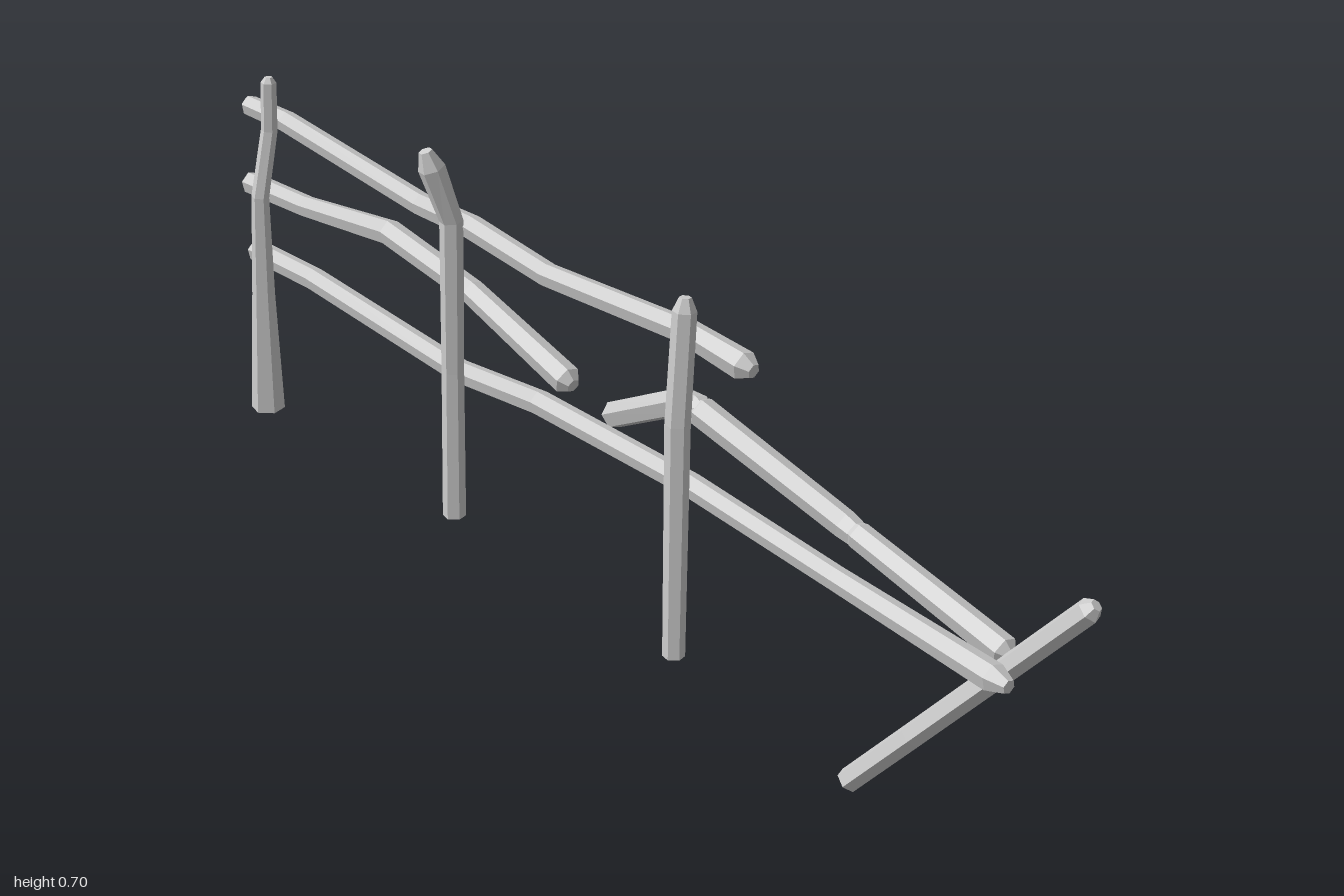
import * as THREE from 'three';

const SIDES = 6;
const material = new THREE.MeshStandardMaterial({ color: 0xcccccc, flatShading: true });

// Rough six-sided log through points [x, y, z, radius]; tips add a chopped, tapered end
function log(name, points, startTip = 0, endTip = 0) {
  const rings = points.map(([x, y, z, r]) => ({ p: new THREE.Vector3(x, y, z), r }));
  const tip = (a, b, length) => ({
    p: a.p.clone().addScaledVector(a.p.clone().sub(b.p).normalize(), length), r: a.r * 0.5,
  });
  const n = rings.length;
  const first = tip(rings[0], rings[1], startTip);
  const last = tip(rings[n - 1], rings[n - 2], endTip);
  if (startTip) rings.unshift(first);
  if (endTip) rings.push(last);

  const side = new THREE.Vector3(1, 0, 0);
  const pos = [], index = [];
  rings.forEach(({ p, r }, i) => {
    const t = rings[Math.min(i + 1, rings.length - 1)].p.clone().sub(rings[Math.max(i - 1, 0)].p).normalize();
    const u = side.clone().addScaledVector(t, -side.dot(t)).normalize();
    const v = t.clone().cross(u);
    for (let k = 0; k < SIDES; k++) {
      const a = (k / SIDES) * Math.PI * 2 + 0.3;
      const q = p.clone().addScaledVector(u, Math.cos(a) * r).addScaledVector(v, Math.sin(a) * r);
      pos.push(q.x, q.y, q.z);
    }
  });
  for (let i = 0; i < rings.length - 1; i++) {
    for (let k = 0; k < SIDES; k++) {
      const a = i * SIDES + k, b = i * SIDES + (k + 1) % SIDES;
      index.push(a, b, b + SIDES, a, b + SIDES, a + SIDES);
    }
  }
  // End caps
  const e = (rings.length - 1) * SIDES;
  for (let k = 1; k < SIDES - 1; k++) index.push(0, k + 1, k, e, e + k, e + k + 1);

  const indexed = new THREE.BufferGeometry();
  indexed.setAttribute('position', new THREE.Float32BufferAttribute(pos, 3));
  indexed.setIndex(index);
  const geometry = indexed.toNonIndexed();
  geometry.computeVertexNormals();
  const mesh = new THREE.Mesh(geometry, material);
  mesh.name = name;
  return mesh;
}

export function createModel() {
  const group = new THREE.Group();
  group.name = 'brokenFence';
  group.add(
    // Upright posts, front to back
    log('frontPost', [
      [-0.046, 0.028, 0.264, 0.018], [-0.031, 0.42, 0.248, 0.02], [-0.016, 0.6, 0.243, 0.019],
    ], 0, 0.022),
    log('middlePost', [
      [-0.02, 0.028, -0.325, 0.02], [-0.016, 0.3, -0.325, 0.019],
      [-0.014, 0.57, -0.322, 0.02], [-0.042, 0.665, -0.334, 0.023],
    ], 0, 0.032),
    log('backPost', [
      [-0.01, 0.018, -0.903, 0.031], [-0.01, 0.25, -0.897, 0.021],
      [-0.008, 0.44, -0.893, 0.016], [0.018, 0.56, -0.892, 0.015], [0.021, 0.65, -0.89, 0.014],
    ], 0, 0.01),
    // Toppled post leaning at the front
    log('leaningPost', [
      [-0.07, 0.013, 0.668, 0.019], [-0.038, 0.12, 0.757, 0.019],
      [0.002, 0.245, 0.86, 0.019], [0.042, 0.397, 0.986, 0.019],
    ], 0, 0.014),
    // Long rails
    log('topRail', [
      [0.02, 0.533, 0.335, 0.024], [0.012, 0.551, 0.22, 0.021], [0.006, 0.541, -0.1, 0.02],
      [0.018, 0.555, -0.31, 0.021], [0.03, 0.546, -0.46, 0.02],
      [0.049, 0.573, -0.88, 0.02], [0.037, 0.58, -0.98, 0.019],
    ], 0.02, 0.01),
    log('middleRail', [
      [0.038, 0.35, -0.092, 0.025], [0.033, 0.428, -0.33, 0.022], [0.035, 0.463, -0.56, 0.023],
      [0.036, 0.435, -0.81, 0.02], [0.034, 0.43, -0.985, 0.021],
    ], 0.016, 0.01),
    log('bottomRail', [
      [-0.042, 0.286, 0.9, 0.022], [-0.022, 0.295, 0.58, 0.019], [-0.002, 0.308, 0.25, 0.02],
      [0.012, 0.304, -0.13, 0.021], [0.025, 0.275, -0.36, 0.021],
      [0.038, 0.297, -0.8, 0.021], [0.036, 0.297, -0.982, 0.021],
    ], 0.03, 0.01),
    // Snapped rail: sloping lower and upper halves, then the hanging piece
    log('brokenRailLower', [
      [0.026, 0.282, 0.86, 0.023], [0.032, 0.342, 0.57, 0.021],
    ], 0.012, 0.03),
    log('brokenRailUpper', [
      [0.03, 0.335, 0.6, 0.016], [0.034, 0.347, 0.54, 0.022], [0.006, 0.435, 0.26, 0.024],
    ], 0, 0.02),
    log('brokenRailHanging', [
      [0.004, 0.44, 0.258, 0.021], [0.014, 0.43, 0.21, 0.023], [0.064, 0.312, -0.005, 0.023],
    ], 0.015, 0.022),
  );
  return group;
}
